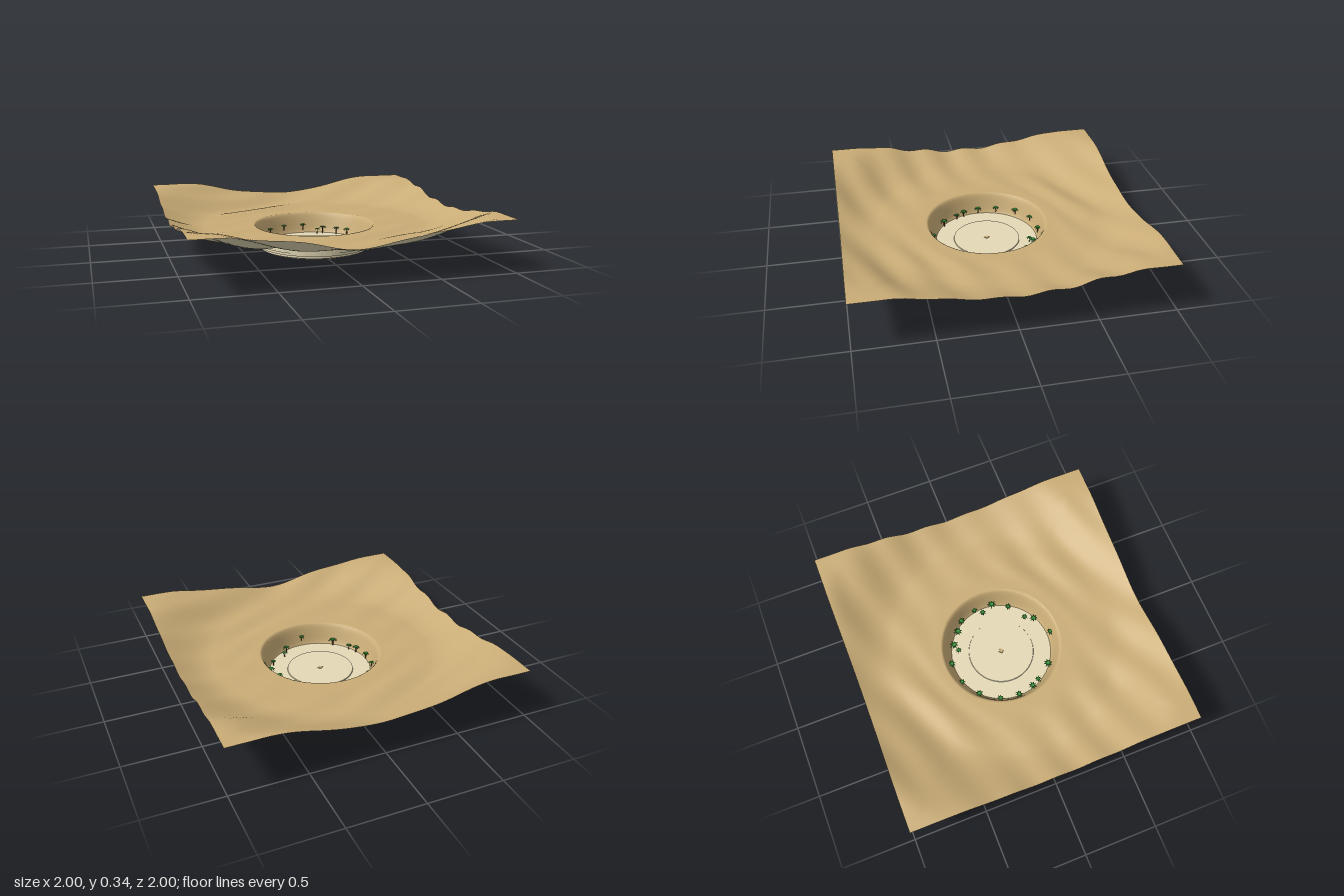
import * as THREE from 'three';

const sand = new THREE.MeshStandardMaterial({ color: 0xcaad77, name: 'duneSand' });
const stone = new THREE.MeshStandardMaterial({ color: 0xe4d9b6, name: 'paleStone' });
const leaf = new THREE.MeshStandardMaterial({ color: 0x2e8b2e, name: 'palmGreen', side: THREE.DoubleSide });
const bark = new THREE.MeshStandardMaterial({ color: 0x6b4a2a, name: 'bark' });

const FLOOR = 0.036;
const smooth = THREE.MathUtils.smoothstep;

// Dune height: raised corners, diagonal ripples, and a steep crater in the middle
function height(x, z) {
  const r = Math.hypot(x, z);
  const phase = 19 * (z + 0.45 * x) + 3.6 + 1.5 * Math.sin(1.6 * z) + 0.7 * Math.sin(4 * x);
  const strength = 0.008 + 0.004 * Math.sin(5.1 * x - 3.3 * z + 1);
  const ripple = strength * Math.sin(phase) * smooth(r, 0.44, 0.62) * (1 - smooth(r, 1.1, 1.35));
  const rise = 0.16 * smooth(r, 0.75, 1.28);
  const dip = 0.02 * Math.exp(-25 * x * x) * smooth(Math.abs(z), 0.75, 1);
  const crater = (0.172 - FLOOR + 0.006) * (1 - smooth(r, 0.342, 0.412));
  return 0.174 + rise + ripple - dip - crater;
}

// Sheet from a circle of radius inner out to the square border
function duneSheet(inner, drop, flip) {
  const segments = 192, rings = 72, pos = [], index = [];
  for (let j = 0; j <= rings; j++) {
    const s = Math.pow(j / rings, 1.35);
    for (let i = 0; i < segments; i++) {
      const a = (i / segments) * Math.PI * 2;
      const c = Math.cos(a), n = Math.sin(a);
      const border = 1 / Math.max(Math.abs(c), Math.abs(n));
      const r = inner + (border - inner) * s;
      pos.push(c * r, height(c * r, n * r) - drop, n * r);
      if (j === rings) continue;
      const p = j * segments + i, q = j * segments + ((i + 1) % segments);
      const u = p + segments, v = q + segments;
      if (flip) index.push(p, u, q, q, u, v);
      else index.push(p, q, u, q, v, u);
    }
  }
  const g = new THREE.BufferGeometry();
  g.setAttribute('position', new THREE.Float32BufferAttribute(pos, 3));
  g.setIndex(index);
  g.computeVertexNormals();
  return g;
}

// Crown of drooping fronds, each a folded blade
function crownGeometry() {
  const pos = [];
  for (let i = 0; i < 8; i++) {
    const a = (i / 8) * Math.PI * 2;
    const at = (r, side, y) => [
      Math.cos(a) * r - Math.sin(a) * side, y, Math.sin(a) * r + Math.cos(a) * side];
    const root = at(0, 0, 0), left = at(0.013, 0.0055, 0.002);
    const right = at(0.013, -0.0055, 0.002), tip = at(0.029, 0, -0.008);
    pos.push(...root, ...left, ...right, ...left, ...tip, ...right);
  }
  const g = new THREE.BufferGeometry();
  g.setAttribute('position', new THREE.Float32BufferAttribute(pos, 3));
  g.computeVertexNormals();
  return g;
}

export function createModel() {
  const group = new THREE.Group();
  const add = (name, geometry, material, x = 0, y = 0, z = 0, parent = group) => {
    const m = new THREE.Mesh(geometry, material);
    m.name = name;
    m.position.set(x, y, z);
    parent.add(m);
    return m;
  };

  // Dune surface and the pale layer just below it
  add('duneSurface', duneSheet(0.335, 0, false), sand);
  add('duneUnderside', duneSheet(0.407, 0.004, true), stone);

  // Stepped outer wall of the bowl, kept outside the sandy slope
  const radii = [0.345, 0.368, 0.378, 0.386, 0.392, 0.398, 0.404, 0.41];
  const levels = [0.003, 0.013, 0.028, 0.045, 0.068, 0.092, 0.118, 0.145, 0.17];
  const profile = [new THREE.Vector2(0, levels[0])];
  radii.forEach((r, i) => {
    profile.push(new THREE.Vector2(r, levels[i]), new THREE.Vector2(r, levels[i + 1]));
  });
  const wall = new THREE.LatheGeometry(profile, 72).toNonIndexed();
  wall.computeVertexNormals();
  add('bowlWall', wall, stone);

  // Crater floor with a slightly raised centre and a sandy middle stone
  add('craterFloor', new THREE.CylinderGeometry(0.362, 0.362, 0.01, 64), stone, 0, FLOOR - 0.005, 0);
  add('raisedFloor', new THREE.CylinderGeometry(0.226, 0.23, 0.012, 40), stone, 0, FLOOR, 0);
  add('middleStone', new THREE.CylinderGeometry(0.018, 0.021, 0.008, 4), sand, 0, FLOOR + 0.006, 0);

  // Four small feet beneath the bowl
  for (const x of [-0.16, 0.16]) {
    for (const z of [-0.16, 0.16]) {
      add('bowlFoot', new THREE.CylinderGeometry(0.022, 0.018, 0.006, 10), sand, x, 0.003, z);
    }
  }

  // Palms around the edge of the floor: x, z, scale
  const palms = [
    [0.02, -0.36, 1], [0.105, -0.28, 0.85], [0.15, -0.295, 1.1], [0.235, -0.235, 1.1],
    [0.3, -0.185, 1], [0.345, -0.07, 0.8], [0.31, -0.02, 0.9], [0.34, 0.06, 1.1],
    [0.285, 0.165, 0.85], [0.17, 0.245, 0.85], [0.135, 0.3, 1], [-0.01, 0.365, 0.85],
    [-0.215, 0.265, 1.1], [-0.295, 0.16, 0.85], [-0.325, 0.105, 1], [-0.35, -0.005, 1],
    [-0.33, -0.135, 0.9], [-0.25, -0.26, 1], [-0.13, -0.34, 0.85],
  ];
  const crown = crownGeometry();
  const trunk = new THREE.CylinderGeometry(0.003, 0.0045, 0.042, 6);
  palms.forEach(([x, z, s], i) => {
    const palm = new THREE.Group();
    palm.name = 'palm';
    palm.position.set(x, Math.max(FLOOR, height(x, z) - 0.004), z);
    palm.rotation.y = i * 1.3;
    palm.scale.setScalar(s);
    add('palmTrunk', trunk, bark, 0, 0.021, 0, palm);
    add('palmCrown', crown, leaf, 0, 0.042, 0, palm);
    group.add(palm);
  });
  return group;
}
